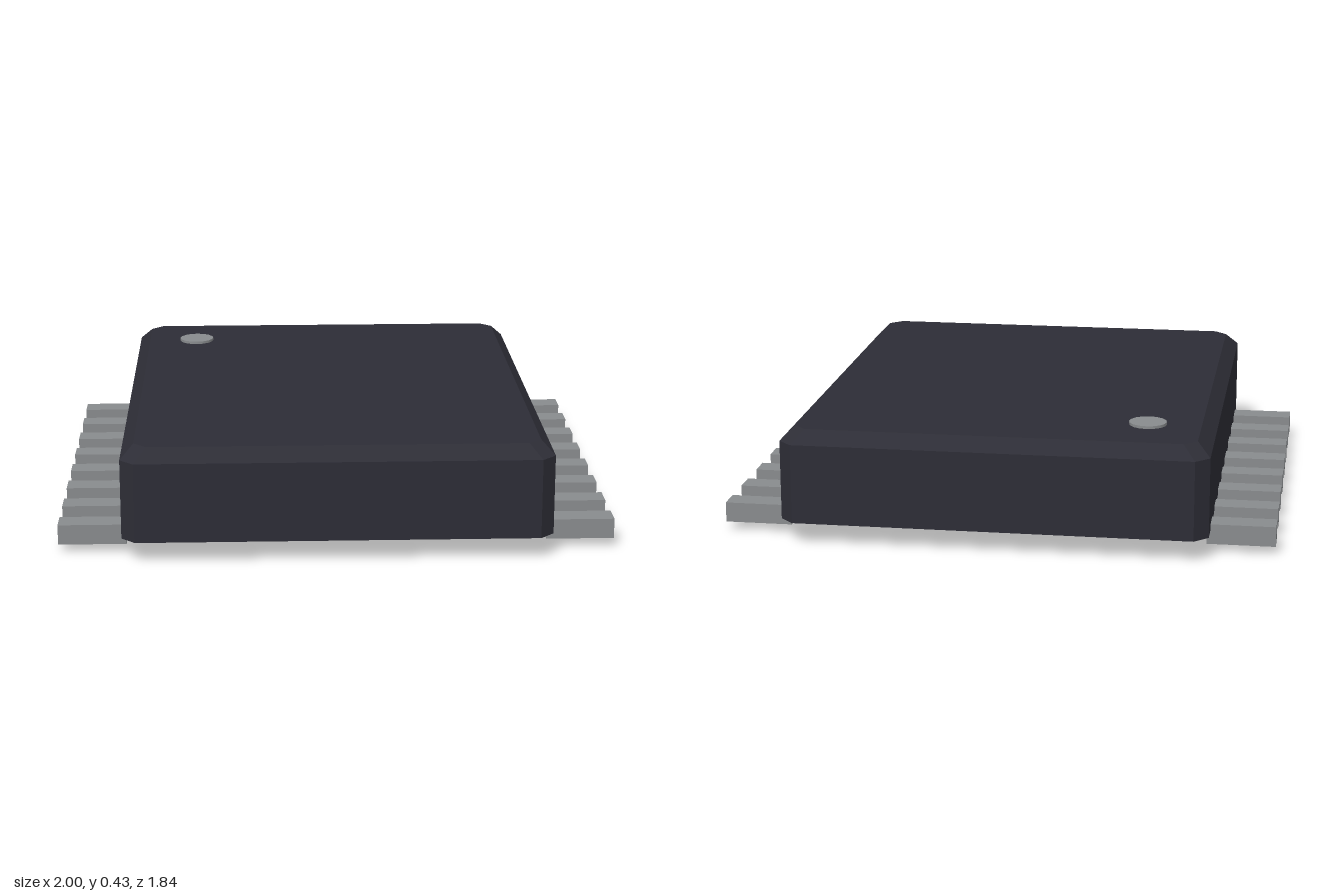
import * as THREE from 'three';

const mold = new THREE.MeshStandardMaterial({ color: 0x2d2d36 });
mold.name = 'dark plastic';
const metal = new THREE.MeshStandardMaterial({ color: 0x898c8e });
metal.name = 'grey metal';

// Corner-cut rectangle at height y, anticlockwise seen from above
function ring(hx, hz, cut, y) {
  return [
    [hx, hz - cut], [hx, cut - hz], [hx - cut, -hz], [cut - hx, -hz],
    [-hx, cut - hz], [-hx, hz - cut], [cut - hx, hz], [hx - cut, hz],
  ].map(([x, z]) => [x, y, z]);
}

// Closed, flat-faced solid through a stack of rings
function loft(rings) {
  const pos = [];
  const tri = (a, b, c) => pos.push(...a, ...b, ...c);
  const n = rings[0].length;
  for (let k = 0; k < rings.length - 1; k++) {
    const lo = rings[k], hi = rings[k + 1];
    for (let i = 0; i < n; i++) {
      const j = (i + 1) % n;
      tri(lo[i], lo[j], hi[j]);
      tri(lo[i], hi[j], hi[i]);
    }
  }
  const bottom = rings[0], top = rings[rings.length - 1];
  for (let i = 1; i < n - 1; i++) {
    tri(bottom[0], bottom[i + 1], bottom[i]);
    tri(top[0], top[i], top[i + 1]);
  }
  const geo = new THREE.BufferGeometry();
  geo.setAttribute('position', new THREE.Float32BufferAttribute(pos, 3));
  geo.computeVertexNormals();
  return geo;
}

export function createModel() {
  const model = new THREE.Group();
  model.name = 'chipPackage';
  const add = (name, geo, mat, x, y, z, parent = model) => {
    const mesh = new THREE.Mesh(geo, mat);
    mesh.name = name;
    mesh.position.set(x, y, z);
    parent.add(mesh);
  };

  // Moulded body with cut corners and a bevelled top edge
  add('body', loft([
    ring(0.768, 0.922, 0.05, 0.08),
    ring(0.768, 0.922, 0.05, 0.37),
    ring(0.72, 0.874, 0.046, 0.418),
  ]), mold, 0, 0, 0);

  // Thermal pad underneath
  add('thermalPad', new THREE.BoxGeometry(1, 0.065, 1.205), metal, 0, 0.0325, 0);

  // Pin one marker on the top face
  add('pinOneMarker', new THREE.CylinderGeometry(0.068, 0.068, 0.016, 16), metal, -0.527, 0.42, -0.63);

  // Eight straight leads along each side
  const leads = new THREE.Group();
  leads.name = 'leads';
  model.add(leads);
  const leadGeo = new THREE.BoxGeometry(0.245, 0.073, 0.092);
  for (const side of [-1, 1]) {
    for (let i = 0; i < 8; i++) {
      add(side < 0 ? 'rightLead' : 'leftLead', leadGeo, metal,
        side * 0.8775, 0.0655, (i - 3.5) * 0.2113, leads);
    }
  }
  return model;
}
